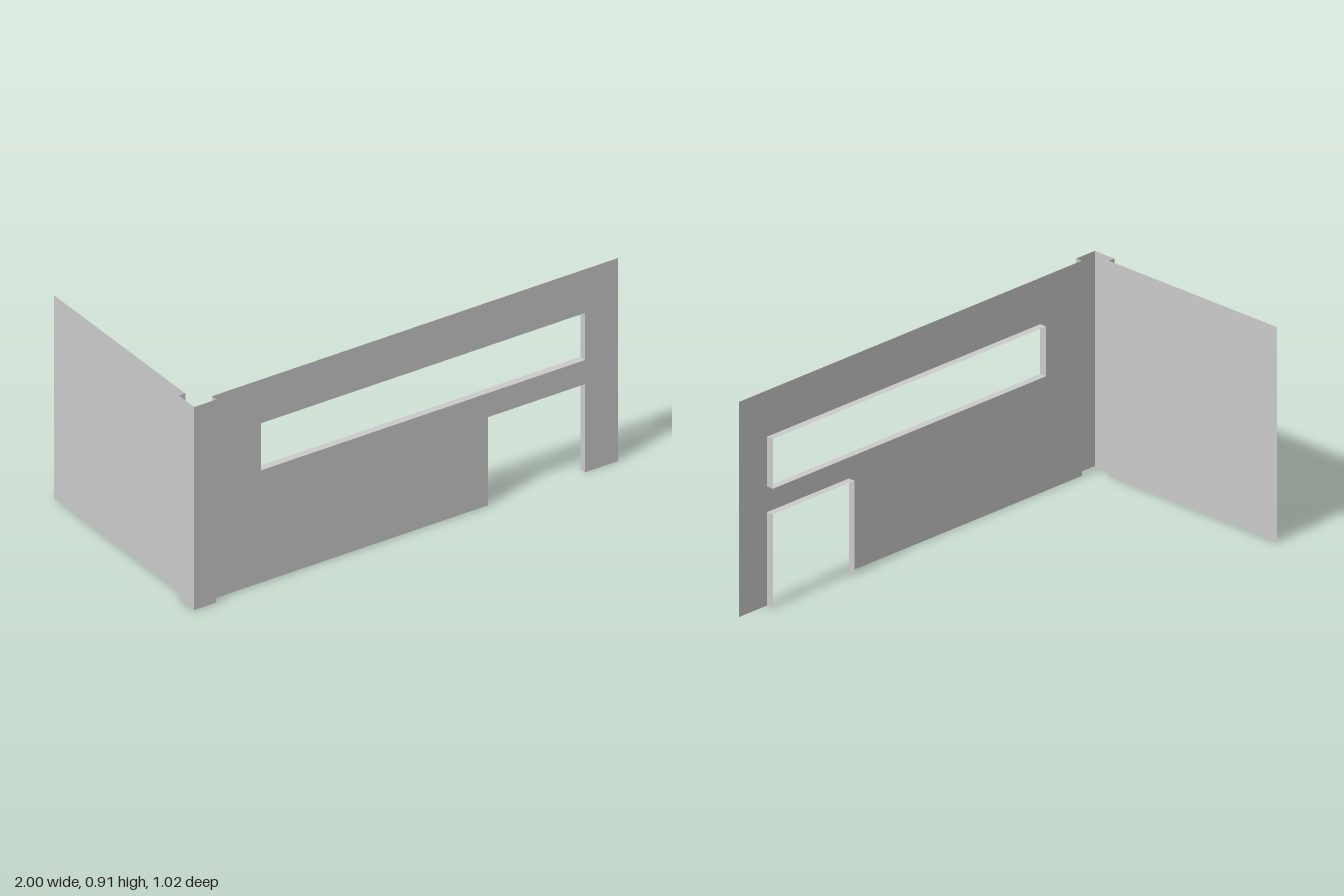
import * as THREE from 'three';

const HEIGHT = 0.91;
const WALL_Z = 0.478;   // outer plane of the front wall
const REVEAL_Z = 0.447; // inner edge of the opening reveals

const material = new THREE.MeshStandardMaterial({
  color: 0xcccccc, flatShading: true, side: THREE.DoubleSide,
});

// Flat quads swept from each segment of a path along a fixed offset
function sweptStrip(points, offset) {
  const pos = [];
  for (let i = 0; i < points.length - 1; i++) {
    const a = points[i], b = points[i + 1];
    const c = b.clone().add(offset), d = a.clone().add(offset);
    for (const p of [a, b, c, a, c, d]) pos.push(p.x, p.y, p.z);
  }
  const geo = new THREE.BufferGeometry();
  geo.setAttribute('position', new THREE.Float32BufferAttribute(pos, 3));
  geo.computeVertexNormals();
  return geo;
}

export function createModel() {
  const group = new THREE.Group();
  const add = (name, geo) => {
    const mesh = new THREE.Mesh(geo, material);
    mesh.name = name;
    group.add(mesh);
  };

  // Outlines of the openings, in x and y
  const windowOutline = [[-0.667, 0.503], [-0.667, 0.714], [0.844, 0.714], [0.844, 0.503]];
  const doorOutline = [[0.392, 0], [0.392, 0.395], [0.844, 0.395], [0.844, 0]];
  const toVec2 = (list) => list.map(([x, y]) => new THREE.Vector2(x, y));

  // Front wall sheet with a door notch and a long window
  const wall = new THREE.Shape(toVec2([
    [-0.897, 0], ...doorOutline, [1, 0], [1, HEIGHT], [-0.897, HEIGHT],
  ]));
  wall.holes.push(new THREE.Path(toVec2(windowOutline)));
  add('frontWall', new THREE.ShapeGeometry(wall).translate(0, 0, WALL_Z));

  // Reveals running inward from the opening edges
  const inward = new THREE.Vector3(0, 0, REVEAL_Z - WALL_Z);
  const onWall = (list) => list.map(([x, y]) => new THREE.Vector3(x, y, WALL_Z));
  add('windowReveal', sweptStrip(onWall([...windowOutline, windowOutline[0]]), inward));
  add('doorReveal', sweptStrip(onWall(doorOutline), inward));

  // Corner post with short returns, then the side wall, in x and z
  const up = new THREE.Vector3(0, HEIGHT, 0);
  const onFloor = (list) => list.map(([x, z]) => new THREE.Vector3(x, 0, z));
  add('cornerPost', sweptStrip(onFloor([
    [-0.897, WALL_Z], [-0.897, 0.508], [-1, 0.508], [-1, 0.402], [-0.97, 0.402],
  ]), up));
  add('sideWall', sweptStrip(onFloor([[-0.97, 0.402], [-0.97, -0.508]]), up));

  return group;
}
